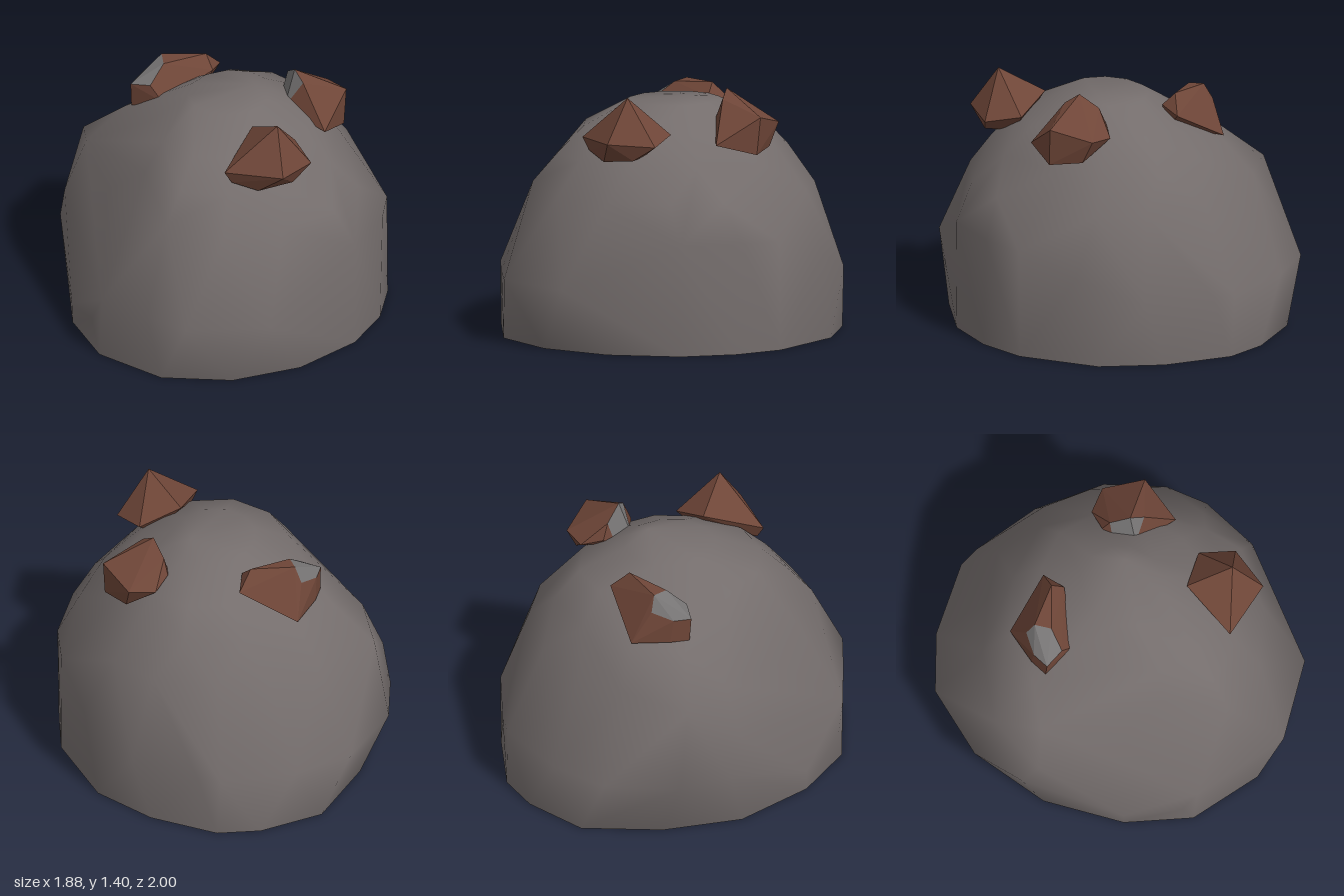
import * as THREE from 'three';
import { mergeVertices } from 'three/addons/utils/BufferGeometryUtils.js';
import { ConvexGeometry } from 'three/addons/geometries/ConvexGeometry.js';

const mat = (name, color) => {
  const m = new THREE.MeshStandardMaterial({ color });
  m.name = name;
  return m;
};

// Boulder corners by level as [x, z], or [x, z, y] where a corner leaves its level
const BASE = [
  [0.94, -0.17], [0.935, 0.15], [0.78, 0.53], [0.5, 0.82], [0.13, 0.96], [-0.29, 0.87], [-0.575, 0.61],
  [-0.79, 0.2], [-0.8, -0.25], [-0.69, -0.69], [-0.4, -0.92], [-0.17, -1], [0.22, -0.95], [0.56, -0.8], [0.86, -0.44],
];
const BELLY = [
  [0.94, -0.2, 0.62], [0.94, 0.15, 0.62], [0.71, 0.77], [0.3, 1], [0.04, 0.95], [-0.27, 0.88], [-0.35, 0.84, 0.2],
  [-0.58, 0.61, 0.12], [-0.88, 0.12], [-0.945, -0.18], [-0.83, -0.59], [-0.58, -0.82], [-0.19, -1], [-0.06, -1],
  [0.33, -0.93], [0.66, -0.72, 0.5], [0.86, -0.43, 0.61],
];
const SHOULDER = [
  [0.83, -0.12], [0.82, 0.18], [0.66, 0.5], [0.4, 0.72], [0.08, 0.78, 0.87], [-0.19, 0.65], [-0.44, 0.45, 0.79],
  [-0.82, 0.19, 0.57], [-0.72, 0.12, 0.87], [-0.85, -0.12, 0.8], [-0.61, -0.44], [-0.37, -0.63], [-0.12, -0.785],
  [0.25, -0.785], [0.5, -0.67], [0.7, -0.39],
];
const CROWN = [
  [0.72, 0], [0.6, 0.36], [0.36, 0.58], [0.1, 0.65], [-0.17, 0.53], [-0.38, 0.3], [-0.58, -0.08],
  [-0.47, -0.36], [-0.22, -0.58], [0.1, -0.67], [0.36, -0.56], [0.58, -0.37],
];

const level = (outline, height) => outline.map(([x, z, y = height]) => new THREE.Vector3(x, y, z));

// Oval level near the top
const oval = (y, cx, cz, rx, rz) => Array.from({ length: 12 }, (_, i) => {
  const a = (i * Math.PI) / 6;
  return new THREE.Vector3(cx + rx * Math.cos(a), y, cz + rz * Math.sin(a));
});

// Hull of all levels, split into a smooth dome and a flat underside
function boulderGeometries() {
  const hull = new ConvexGeometry([
    ...level(BASE, 0), ...level(BELLY, 0.36), ...level(SHOULDER, 0.83), ...level(CROWN, 1.02),
    ...oval(1.17, 0.11, -0.015, 0.44, 0.515), ...oval(1.3, 0.09, -0.025, 0.23, 0.255),
    new THREE.Vector3(0.2, 1.33, -0.12),
  ]);
  const p = hull.attributes.position.array;
  const dome = [], underside = [];
  for (let i = 0; i < p.length; i += 9) {
    const flat = Math.max(p[i + 1], p[i + 4], p[i + 7]) < 1e-4;
    (flat ? underside : dome).push(...p.slice(i, i + 9));
  }
  return [dome, underside].map((list) => {
    const g = new THREE.BufferGeometry();
    g.setAttribute('position', new THREE.Float32BufferAttribute(list, 3));
    const merged = mergeVertices(g);
    merged.computeVertexNormals();
    return merged;
  });
}

// Faceted hull; faces spanned only by tip points take the second material
function chunkGeometry(tip, rest) {
  const vec = (p) => new THREE.Vector3(...p);
  const tips = tip.map(vec);
  const g = new ConvexGeometry([...tips, ...rest.map(vec)]);
  const pos = g.attributes.position;
  const v = new THREE.Vector3();
  for (let i = 0; i < pos.count; i += 3) {
    const isTip = [0, 1, 2].every((k) => {
      v.fromBufferAttribute(pos, i + k);
      return tips.some((t) => t.distanceTo(v) < 1e-4);
    });
    g.addGroup(i, 3, isTip ? 1 : 0);
  }
  return g;
}

const CHUNKS = {
  frontChunk: {
    tip: [],
    rest: [
      [0.56, 1.4, 0.36], [0.55, 1.18, 0.11], [0.71, 1.14, 0.24], [0.66, 1.16, 0.5],
      [0.33, 1.15, 0.56], [0.34, 1.27, 0.22], [0.65, 1.06, 0.35], [0.5, 1.035, 0.48],
      [0.36, 1.08, 0.53], [0.5, 1.05, 0.26],
    ],
  },
  backChunk: {
    tip: [[0.38, 1.4, -0.25], [0.3, 1.33, -0.33], [0.45, 1.35, -0.21], [0.28, 1.2, -0.29], [0.35, 1.19, -0.18]],
    rest: [
      [0.27, 1.24, -0.36], [0.31, 1.2, -0.48], [0.45, 1.21, -0.53], [0.635, 1.27, -0.38],
      [0.62, 1.12, -0.13], [0.63, 1.06, -0.36], [0.48, 1.08, -0.47],
    ],
  },
  sideChunk: {
    tip: [
      [-0.42, 1.32, -0.22], [-0.37, 1.31, -0.14], [-0.52, 1.2, -0.03], [-0.52, 1.2, -0.13],
      [-0.4, 1.22, -0.03], [-0.463, 1.235, -0.243],
    ],
    rest: [
      [-0.47, 1.05, -0.36], [-0.19, 1.33, -0.31], [-0.13, 1.26, -0.27], [-0.32, 1.14, -0.02],
      [-0.52, 1.06, -0.04], [-0.52, 1.06, -0.15], [-0.2, 1.1, -0.2], [-0.15, 1.23, -0.41],
    ],
  },
};

export function createModel() {
  const stone = mat('stone', 0x746d6c);
  const ore = mat('ore', 0x6f4638);
  const tipGrey = mat('tipGrey', 0x767474);
  ore.flatShading = tipGrey.flatShading = true;

  const group = new THREE.Group();
  group.name = 'oreBoulder';
  const add = (name, geometry, material) => {
    const m = new THREE.Mesh(geometry, material);
    m.name = name;
    group.add(m);
  };

  const [dome, underside] = boulderGeometries();
  add('boulder', dome, stone);
  add('underside', underside, stone);
  for (const [name, { tip, rest }] of Object.entries(CHUNKS)) {
    add(name, chunkGeometry(tip, rest), [ore, tipGrey]);
  }
  return group;
}
